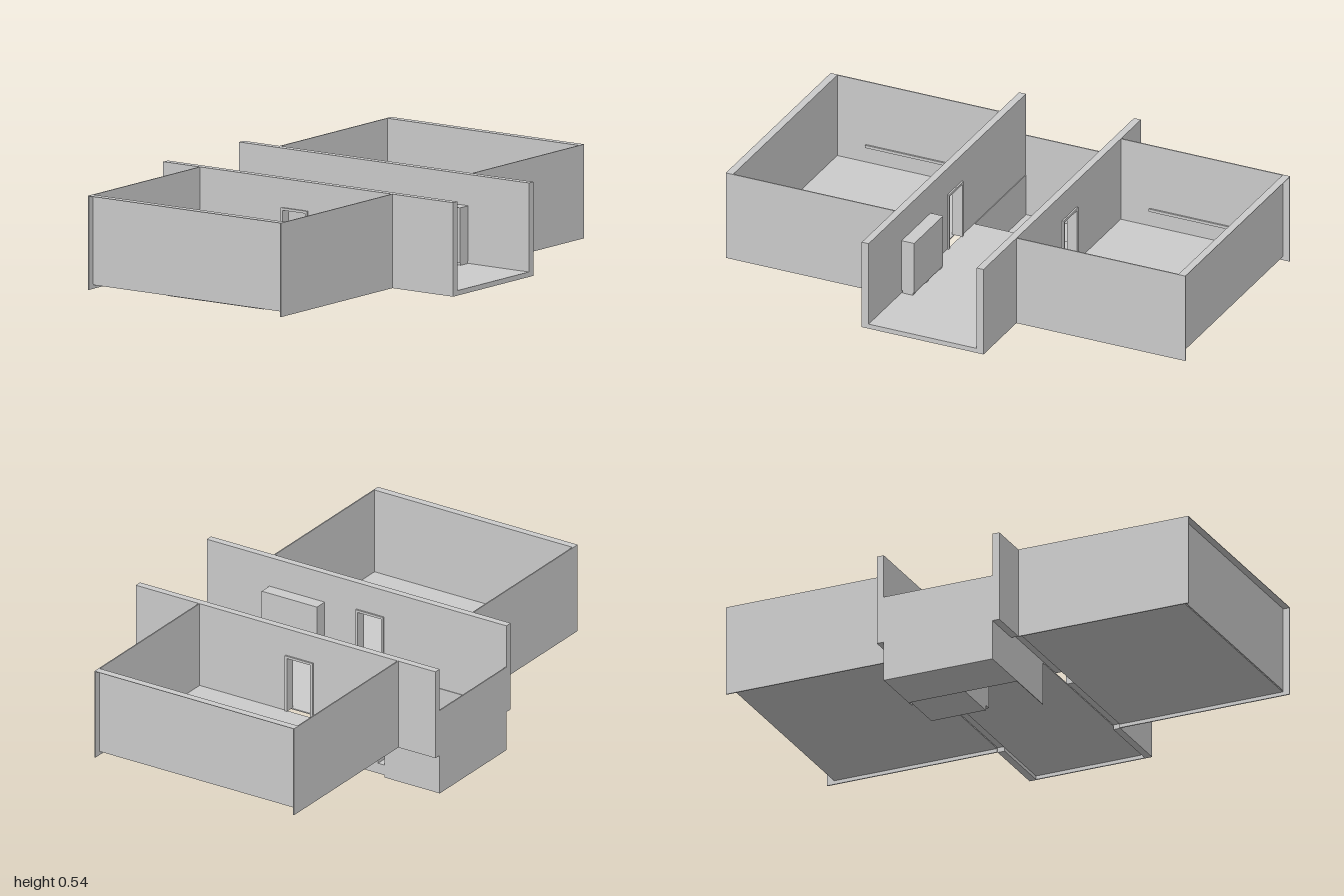
import * as THREE from 'three';

const material = new THREE.MeshStandardMaterial({ color: 0xcccccc, flatShading: true, side: THREE.DoubleSide });

export function createModel() {
  const model = new THREE.Group();

  // Box given by its lower and upper limits on each axis
  function box(name, x0, x1, y0, y1, z0, z1) {
    const geometry = new THREE.BoxGeometry(Math.abs(x1 - x0), y1 - y0, z1 - z0);
    geometry.translate((x0 + x1) / 2, (y0 + y1) / 2, (z0 + z1) / 2);
    const mesh = new THREE.Mesh(geometry, material);
    mesh.name = name;
    model.add(mesh);
  }

  const floorY = 0.185, baseY = 0.165, topY = 0.54;
  const back = -0.53, front = 0.41, end = 0.705;
  const t = 0.005; // thin panels

  // Corridor wall outline (z, y), with a doorway notch and lower ends
  const wallShape = new THREE.Shape([
    [-end, baseY], [back, baseY], [back, floorY], [-0.12, floorY], [-0.12, 0.415],
    [-0.01, 0.415], [-0.01, floorY], [front, floorY], [front, baseY], [end, baseY],
    [end, topY], [-end, topY],
  ].map(([z, y]) => new THREE.Vector2(z, y)));

  for (const s of [1, -1]) {
    const side = s > 0 ? 'left' : 'right';

    const geometry = new THREE.ExtrudeGeometry(wallShape, { depth: 0.03, bevelEnabled: false });
    geometry.rotateY(-Math.PI / 2);
    geometry.translate(s > 0 ? 0.265 : -0.235, 0, 0);
    const wall = new THREE.Mesh(geometry, material);
    wall.name = side + 'CorridorWall';
    model.add(wall);

    // Side room: floor, front and back panels, outer panel with its top cap
    box(side + 'RoomFloor', s * 0.265, s * 0.97, floorY - t, floorY, back, front);
    box(side + 'RoomFrontWall', s * 0.265, s, baseY, topY, front - t, front);
    box(side + 'RoomBackWall', s * 0.265, s, baseY, topY, back, back + t);
    box(side + 'RoomOuterWall', s * 0.969, s * 0.972, floorY, topY, back, front);
    box(side + 'RoomOuterWallCap', s * 0.97, s, topY - 0.002, topY, back, front);
    box(side + 'RoomSill', s * 0.39, s * 0.845, 0.25, 0.262, back + t, -0.518);

    // Door frame
    box(side + 'DoorPostBack', s * 0.228, s * 0.272, floorY, 0.425, -0.13, -0.12);
    box(side + 'DoorPostFront', s * 0.228, s * 0.272, floorY, 0.425, -0.01, 0);
    box(side + 'DoorLintel', s * 0.228, s * 0.272, 0.415, 0.425, -0.13, 0);

    // Corridor cabinet on short feet
    box(side + 'Cabinet', s * 0.18, s * 0.235, 0.195, 0.415, 0.15, front);
    for (const z of [0.15, 0.27, 0.39])
      box(side + 'CabinetFoot', s * 0.185, s * 0.23, floorY, 0.195, z, z + 0.02);
  }

  // Corridor floor with its front edge
  box('corridorFloor', -0.235, 0.235, floorY - t, floorY, -0.24, end);
  box('corridorFloorEdge', -0.235, 0.235, baseY, floorY, end - t, end);

  // Stairwell: landing, back wall and side panels
  box('landing', -0.232, 0.235, 0, 0.01, -end, -0.475);
  box('stairwellBackWall', -0.235, 0.235, 0, 0.36, -end, -end + t);
  box('stairwellRightWall', -0.235, -0.232, 0, floorY, -end, -0.24);
  box('stairwellLeftWall', 0.232, 0.235, 0, floorY, -end, -0.445);

  // Stairs: stacked slabs, each lower one reaching further back
  const steps = 8, rise = (floorY - 0.01) / steps, run = 0.03;
  for (let i = 0; i < steps; i++) {
    const y = floorY - (i + 1) * rise;
    box('step', 0, 0.235, y, y + rise, -0.265 - i * run, i === steps - 1 ? -0.265 : -0.236);
  }

  return model;
}
